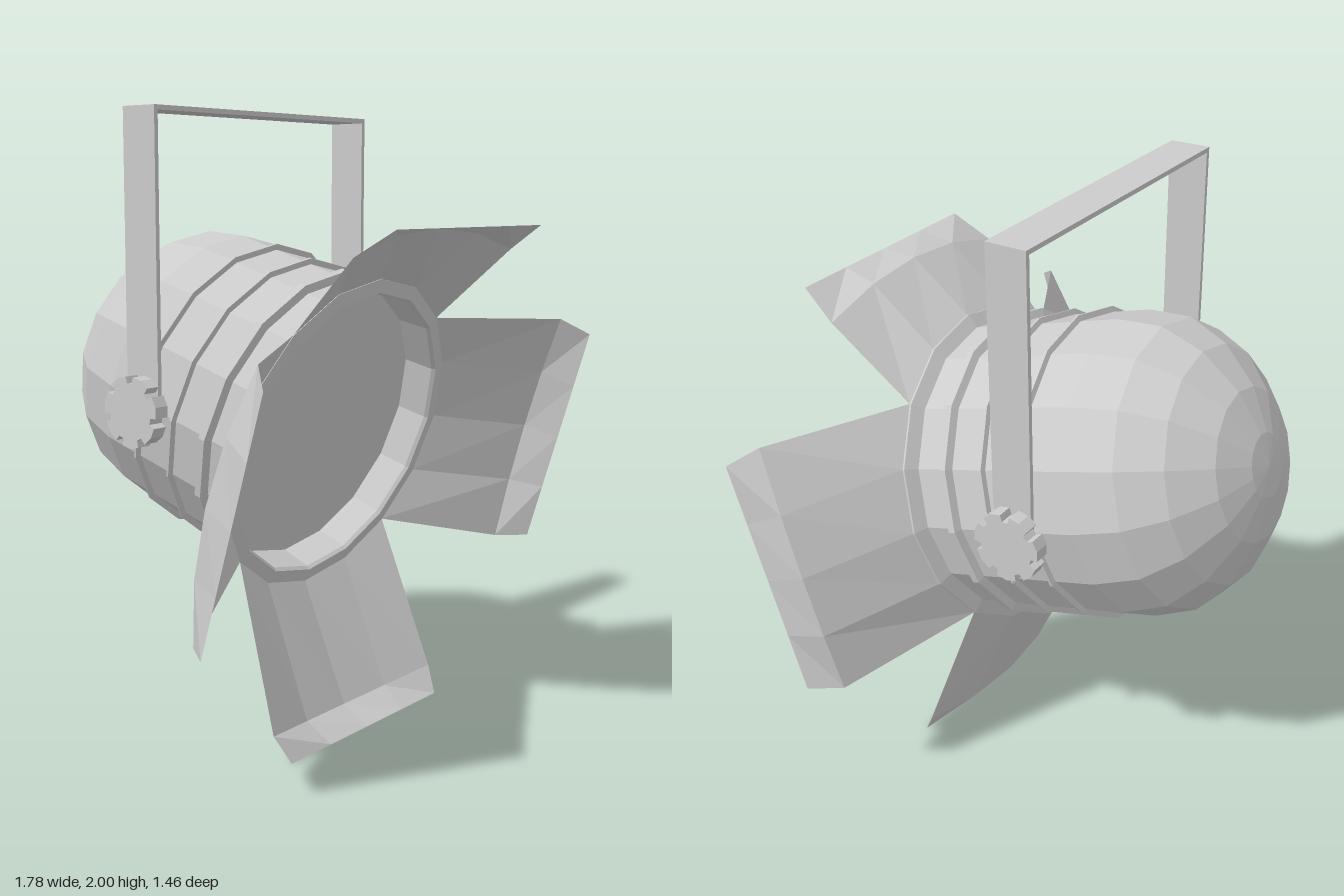
import * as THREE from 'three';

const SIDES = 16;
const grey = new THREE.MeshStandardMaterial({ color: 0xcccccc, flatShading: true, side: THREE.DoubleSide });

function part(name, geometry) {
  const mesh = new THREE.Mesh(geometry, grey);
  mesh.name = name;
  return mesh;
}

// Faceted turned part about the lamp axis (+z); points are [radius, distance forward]
function turned(name, points) {
  const geometry = new THREE.LatheGeometry(points.map(([r, t]) => new THREE.Vector2(r, t)), SIDES);
  return part(name, geometry.rotateX(Math.PI / 2));
}

// Curved flap hinged on a quarter of the rim: base arc, bulged bend row, straight tip.
// bend, corner and tip are [forward, outward].
function barnDoor(name, angle, { bend, corner, tip }) {
  const positions = [], index = [], columns = 4;
  for (let i = 0; i <= columns; i++) {
    const s = i / columns * 2 - 1, a = s * Math.PI / 4, k = 1 - s * s;
    const mix = n => corner[n] + (bend[n] - corner[n]) * k;
    positions.push(0.535 * Math.sin(a), 0.535 * Math.cos(a), 0.395);
    positions.push(0.425 * s, mix(1), mix(0));
    positions.push(0.395 * s, tip[1], tip[0]);
  }
  for (let i = 0; i < columns; i++) {
    for (let j = 0; j < 2; j++) {
      const a = i * 3 + j, b = a + 3;
      index.push(a, b, a + 1, b, b + 1, a + 1);
    }
  }
  const geometry = new THREE.BufferGeometry();
  geometry.setAttribute('position', new THREE.Float32BufferAttribute(positions, 3));
  geometry.setIndex(index);
  geometry.computeVertexNormals();
  const door = part(name, geometry);
  door.rotation.z = angle;
  return door;
}

// Notched hand knob, extruded along +x
function knobGeometry() {
  const shape = new THREE.Shape(), teeth = 7, step = Math.PI * 2 / teeth;
  for (let i = 0; i < teeth; i++) {
    const mid = -Math.PI / 2 + i * step;
    for (const [da, r] of [[-0.34, 0.112], [0, 0.115], [0.34, 0.112], [0.38, 0.09], [0.62, 0.09]]) {
      const a = mid + da * step, x = r * Math.cos(a), y = r * Math.sin(a);
      if (i === 0 && da === -0.34) shape.moveTo(x, y);
      else shape.lineTo(x, y);
    }
  }
  return new THREE.ExtrudeGeometry(shape, { depth: 0.052, bevelEnabled: false }).rotateY(Math.PI / 2);
}

export function createModel() {
  const model = new THREE.Group();
  model.name = 'stageLight';

  // Lamp head, tipped downwards
  const head = new THREE.Group();
  head.name = 'lampHead';
  head.position.set(0.011, 1.076, -0.135);
  head.rotation.x = THREE.MathUtils.degToRad(16.5);
  model.add(head);

  head.add(turned('housing', [
    [0, -0.605], [0.1, -0.597], [0.24, -0.553], [0.372, -0.46], [0.458, -0.34], [0.489, -0.19], [0.489, 0.37],
  ]));
  head.add(turned('frontRim', [
    [0.489, 0.37], [0.535, 0.388], [0.535, 0.397], [0.49, 0.402], [0.482, 0.39], [0.472, 0.28],
  ]));
  head.add(turned('lens', [[0.474, 0.285], [0, 0.285]]));

  // Bands round the housing: [centre, half width, radius]
  for (const [t, w, r] of [[0.25, 0.02, 0.516], [0.107, 0.007, 0.508], [-0.043, 0.007, 0.508]]) {
    head.add(turned('band', [[0.485, t - w], [r, t - w * 0.6], [r, t + w * 0.6], [0.485, t + w]]));
  }

  // Four barn doors, each opened a little differently
  head.add(barnDoor('topDoor', 0, { bend: [0.55, 0.745], corner: [0.57, 0.675], tip: [0.667, 0.786] }));
  head.add(barnDoor('bottomDoor', Math.PI, { bend: [0.67, 0.866], corner: [0.71, 0.82], tip: [0.78, 0.888] }));
  head.add(barnDoor('rightDoor', Math.PI / 2, { bend: [0.605, 0.865], corner: [0.64, 0.825], tip: [0.735, 0.901] }));
  head.add(barnDoor('leftDoor', -Math.PI / 2, { bend: [0.59, 0.85], corner: [0.625, 0.81], tip: [0.715, 0.879] }));

  // Hanging yoke with a knob and bolt on each side
  const yoke = new THREE.Group();
  yoke.name = 'yoke';
  yoke.position.set(0.011, 0, -0.132);
  model.add(yoke);

  const bar = part('yokeTop', new THREE.BoxGeometry(1.052, 0.015, 0.134));
  bar.position.y = 1.9925;
  yoke.add(bar);

  const knob = knobGeometry();
  for (const side of [1, -1]) {
    const arm = part('yokeArm', new THREE.BoxGeometry(0.015, 0.97, 0.134));
    arm.position.set(side * 0.5185, 1.515, 0);
    yoke.add(arm);

    const handle = part('knob', knob);
    handle.position.set(side * 0.524, 1.07, -0.008);
    if (side < 0) handle.rotation.y = Math.PI;
    yoke.add(handle);

    const bolt = part('bolt', new THREE.CylinderGeometry(0.03, 0.03, 0.07, 8).rotateZ(Math.PI / 2));
    bolt.position.set(side * 0.49, 1.07, -0.008);
    yoke.add(bolt);
  }
  return model;
}
